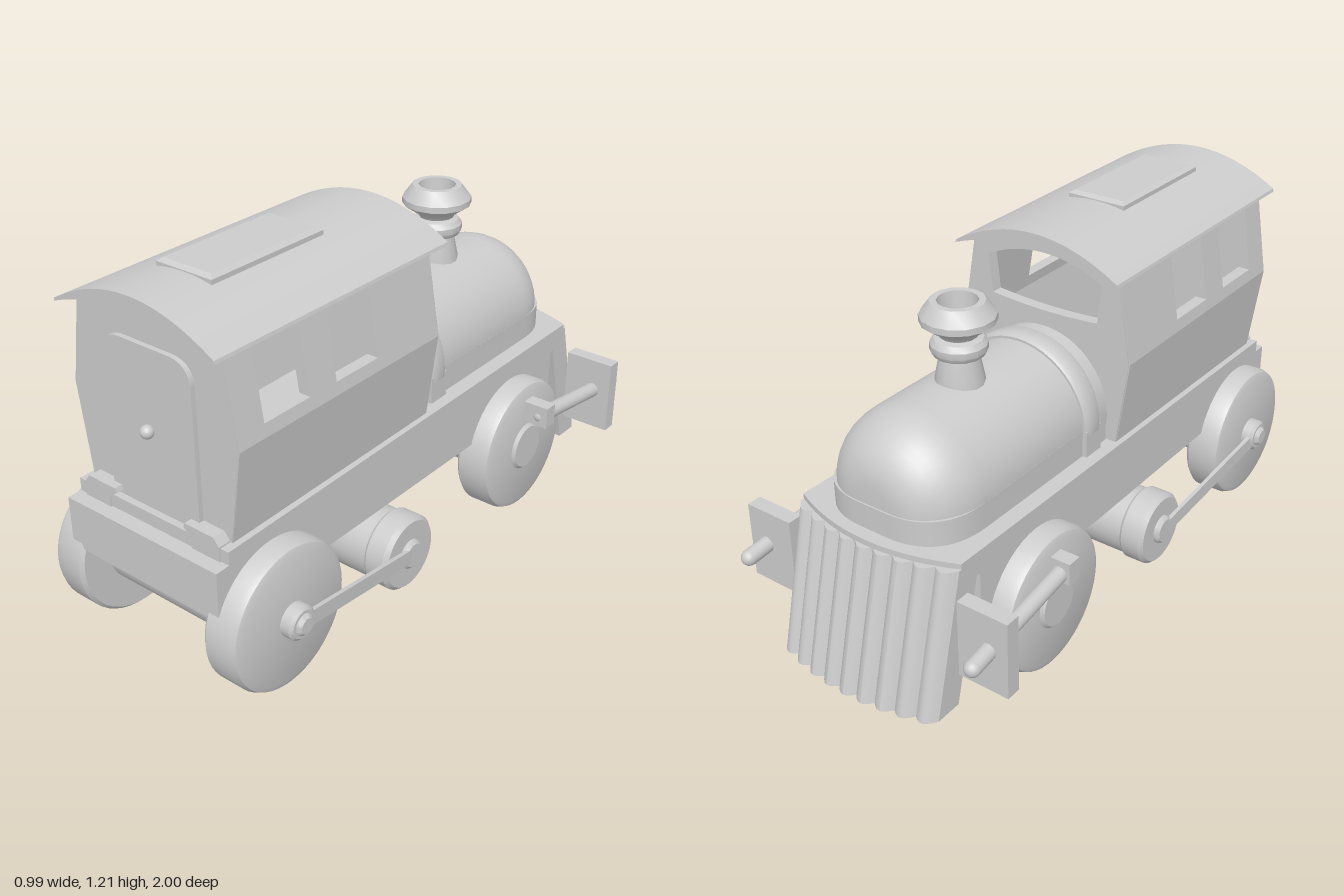
import * as THREE from 'three';
import { toCreasedNormals } from 'three/addons/utils/BufferGeometryUtils.js';

const V = (x, y) => new THREE.Vector2(x, y);
const material = new THREE.MeshStandardMaterial({ color: 0xcccccc });
const openMaterial = new THREE.MeshStandardMaterial({ color: 0xcccccc, side: THREE.DoubleSide });

function add(parent, name, geometry, x = 0, y = 0, z = 0, mat = material) {
  const mesh = new THREE.Mesh(geometry, mat);
  mesh.name = name;
  mesh.position.set(x, y, z);
  parent.add(mesh);
  return mesh;
}
const box = (parent, name, w, h, d, x, y, z) => add(parent, name, new THREE.BoxGeometry(w, h, d), x, y, z);
const poly = (pts) => new THREE.Shape(pts.map(([x, y]) => V(x, y)));
const extrude = (shape, depth, opts = {}) => toCreasedNormals(
  new THREE.ExtrudeGeometry(shape, { depth, bevelEnabled: false, curveSegments: 16, ...opts }), 0.5);
const lathe = (pts, segments = 40) => toCreasedNormals(
  new THREE.LatheGeometry(pts.map(([x, y]) => V(x, y)), segments), 0.6);

// Moves every vertex by a rule, then recomputes the normals.
function bend(geometry, rule) {
  const p = geometry.attributes.position;
  const v = new THREE.Vector3();
  for (let i = 0; i < p.count; i++) {
    rule(v.set(p.getX(i), p.getY(i), p.getZ(i)));
    p.setXYZ(i, v.x, v.y, v.z);
  }
  return toCreasedNormals(geometry, 0.5);
}

// Bar with a rectangular section between two points.
function bar(parent, name, a, b, thick, height) {
  const dir = b.clone().sub(a);
  const mesh = add(parent, name, new THREE.BoxGeometry(thick, height, dir.length()));
  mesh.position.copy(a).add(b).multiplyScalar(0.5);
  mesh.quaternion.setFromUnitVectors(new THREE.Vector3(0, 0, 1), dir.normalize());
}

function buildChassis(g) {
  box(g, 'chassis', 0.6, 0.165, 1.7, 0, 0.405, 0.13);
  box(g, 'axleBeam', 0.2, 0.055, 1.2, 0, 0.238, 0.15);

  // Deck with a bowed front, rising slightly towards the nose
  const deck = poly([[-0.3, -0.93], [0.3, -0.93], [0.3, 0.8]]);
  deck.quadraticCurveTo(0, 0.94, -0.3, 0.8);
  add(g, 'deck', bend(extrude(deck, 0.06).rotateX(-Math.PI / 2).translate(0, 0.48, 0), (v) => {
    if (v.y > 0.5) v.y = 0.545 - v.z * 0.016;
  }));

  // Ribbed, bowed and sloping slab at the nose
  const ribs = 9, steps = 6, half = 0.3, pts = [[-half, 0.72], [half, 0.72]];
  for (let i = ribs * steps; i >= 0; i--) {
    const t = i / (ribs * steps), x = (2 * t - 1) * half;
    const scallop = 0.022 * Math.abs(Math.sin(t * ribs * Math.PI));
    pts.push([x, 0.81 + 0.055 * (1 - (x / half) ** 2) + scallop]);
  }
  const guard = extrude(poly(pts), 0.46).rotateX(-Math.PI / 2).translate(0, 0.08, 0);
  add(g, 'cowcatcher', bend(guard, (v) => { v.z -= (0.54 - v.y) * 0.25; }));

  // Corner brackets at the end of the deck
  for (const s of [-1, 1]) {
    const bracket = extrude(poly([[0.165, 0.48], [0.27, 0.48], [0.27, 0.535], [0.25, 0.56],
      [0.14, 0.56], [0.135, 0.545], [0.165, 0.525]]), 0.05);
    add(g, 'deckBracket', bracket, 0, 0, 0.885).scale.x = s;
  }
}

function buildCab(g) {
  // Side walls: lower panel leans out, upper panel with two windows leans in
  const lower = poly([[0.01, 0.53], [0.89, 0.53], [0.89, 0.83], [0.01, 0.83]]);
  const upper = poly([[0.01, 0.83], [0.89, 0.83], [0.89, 1.13], [0.01, 1.13]]);
  for (const [a, b] of [[0.3, 0.487], [0.6, 0.786]]) {
    upper.holes.push(new THREE.Path([V(a, 0.87), V(a, 1.08), V(b, 1.08), V(b, 0.87)]));
  }
  for (const s of [-1, 1]) {
    for (const [name, shape] of [['cabSideLower', lower], ['cabSideUpper', upper]]) {
      const wall = extrude(shape, 0.04).rotateY(-Math.PI / 2);
      add(g, name, bend(wall, (v) => {
        v.x += 0.321 - Math.abs(v.y - 0.83) * (v.y > 0.83 ? 0.165 : 0.14);
      })).scale.x = s;
    }
  }

  // End walls, the one over the boiler having a wide arched window
  for (const windowed of [true, false]) {
    const end = poly([[-0.278, 0.53], [0.278, 0.53], [0.318, 0.83], [0.27, 1.12]]);
    end.quadraticCurveTo(0, 1.23, -0.27, 1.12);
    end.lineTo(-0.318, 0.83);
    if (windowed) {
      const hole = new THREE.Path([V(-0.2, 0.94), V(-0.215, 1.07)]);
      hole.quadraticCurveTo(0, 1.18, 0.215, 1.07);
      hole.lineTo(0.2, 0.94);
      hole.quadraticCurveTo(0, 0.92, -0.2, 0.94);
      end.holes.push(hole);
    }
    add(g, windowed ? 'cabBoilerWall' : 'cabDoorWall', extrude(end, 0.04), 0, 0, windowed ? 0.005 : 0.852);
  }

  // Round-cornered door and knob
  const door = poly([[-0.172, 0.53], [0.172, 0.53], [0.172, 0.97]]);
  door.quadraticCurveTo(0.172, 1.048, 0.09, 1.048);
  door.lineTo(-0.09, 1.048);
  door.quadraticCurveTo(-0.172, 1.048, -0.172, 0.97);
  add(g, 'door', extrude(door, 0.03), 0, 0, 0.878);
  add(g, 'doorKnob', new THREE.SphereGeometry(0.021, 16, 12), 0, 0.79, 0.918);

  // Arched roof with a shallow hatch
  const roof = new THREE.Shape();
  roof.moveTo(-0.305, 1.105);
  roof.quadraticCurveTo(0, 1.222, 0.305, 1.105);
  roof.lineTo(0.302, 1.115);
  roof.quadraticCurveTo(0, 1.298, -0.302, 1.115);
  add(g, 'roof', extrude(roof, 0.995), 0, 0, -0.05);
  const hatch = poly([[-0.09, -0.73], [0.09, -0.73], [0.09, -0.305], [-0.09, -0.305]]);
  add(g, 'roofHatch', extrude(hatch, 0.025, { bevelEnabled: true, bevelSize: 0.015,
    bevelThickness: 0.01, bevelSegments: 1 }).rotateX(-Math.PI / 2), 0, 1.185, 0);
}

function buildBoiler(g) {
  // Barrel with a domed nose
  const profile = [[0, -0.02], [0.245, -0.02], [0.245, 0.62]];
  for (let i = 1; i <= 10; i++) {
    const a = (i / 10) * Math.PI / 2;
    profile.push([0.07 + 0.175 * Math.cos(a), 0.62 + 0.2 * Math.sin(a)]);
  }
  profile.push([0, 0.82]);
  add(g, 'boiler', lathe(profile, 48).rotateX(-Math.PI / 2), 0, 0.632, 0);

  // Skirt joining barrel and deck
  const skirt = poly([[-0.245, 0], [0.245, 0], [0.245, 0.62]]);
  skirt.bezierCurveTo(0.245, 0.76, 0.17, 0.825, 0.05, 0.825);
  skirt.lineTo(-0.05, 0.825);
  skirt.bezierCurveTo(-0.17, 0.825, -0.245, 0.76, -0.245, 0.62);
  add(g, 'boilerSkirt', extrude(skirt, 0.1).rotateX(-Math.PI / 2), 0, 0.54, 0);

  add(g, 'boilerBand', lathe([[0.24, 0], [0.253, 0], [0.261, 0.012], [0.261, 0.068], [0.253, 0.08],
    [0.24, 0.08]], 48).rotateX(-Math.PI / 2), 0, 0.632, -0.05);
  for (const s of [-1, 1]) box(g, 'boilerBandFoot', 0.02, 0.1, 0.08, s * 0.25, 0.585, -0.09);

  // Chimney with a collar and a hollow flared top
  add(g, 'chimney', lathe([[0.078, 0.82], [0.075, 0.88], [0.06, 0.955], [0.078, 0.96], [0.087, 0.975],
    [0.087, 0.995], [0.075, 1.012], [0.058, 1.018], [0.065, 1.03], [0.115, 1.065], [0.115, 1.085],
    [0.083, 1.128], [0.062, 1.128], [0.055, 1.05], [0, 1.05]], 14), 0, 0, -0.417, openMaterial);
}

function buildRunningGear(g) {
  const bigWheel = lathe([[0, 0.25], [0.225, 0.25], [0.236, 0.262], [0.236, 0.35], [0.228, 0.368],
    [0.21, 0.376], [0, 0.376]], 48).rotateZ(-Math.PI / 2);
  const smallWheel = lathe([[0, 0.27], [0.12, 0.27], [0.128, 0.28], [0.128, 0.345], [0.115, 0.36],
    [0, 0.36]]).rotateZ(-Math.PI / 2);
  const drum = (r) => new THREE.CylinderGeometry(r, r, 0.6, 40).rotateZ(Math.PI / 2);
  const hub = (r, x0, x1) => lathe([[0, x0], [r, x0], [r, x1 - 0.01], [r - 0.01, x1], [0, x1]], 28)
    .rotateZ(-Math.PI / 2);

  add(g, 'rearAxleDrum', drum(0.125), 0, 0.245, 0.765);
  add(g, 'frontAxleDrum', drum(0.125), 0, 0.245, -0.455);
  add(g, 'smallAxleDrum', drum(0.118), 0, 0.135, 0.187);

  for (const s of [-1, 1]) {
    const side = new THREE.Group();
    side.name = 'wheelSet';
    side.scale.x = s;
    g.add(side);
    add(side, 'rearWheel', bigWheel, 0, 0.245, 0.765);
    add(side, 'frontWheel', bigWheel, 0, 0.245, -0.455);
    add(side, 'smallWheel', smallWheel, 0, 0.137, 0.187);
    add(side, 'frontHub', hub(0.085, 0.36, 0.387), 0, 0.245, -0.455);
    add(side, 'rearHub', hub(0.055, 0.36, 0.418), 0, 0.245, 0.765);
    add(side, 'rearNut', hub(0.035, 0.4, 0.432), 0, 0.245, 0.765);
    add(side, 'smallHub', hub(0.05, 0.35, 0.378), 0, 0.14, 0.187);
    bar(side, 'connectingRod', new THREE.Vector3(0.37, 0.14, 0.187),
      new THREE.Vector3(0.408, 0.245, 0.765), 0.014, 0.05);
  }
}

// Bumper boards with push rods beside the front wheels
function buildBumpers(g) {
  for (const s of [-1, 1]) {
    const side = new THREE.Group();
    side.name = 'bumper';
    side.scale.x = s;
    g.add(side);
    box(side, 'bumperBoard', 0.175, 0.26, 0.05, 0.409, 0.33, -0.815);
    box(side, 'rodBlock', 0.09, 0.075, 0.05, 0.41, 0.39, -0.46);
    const rod = new THREE.CapsuleGeometry(0.026, 0.46, 6, 16).rotateX(Math.PI / 2);
    add(side, 'pushRod', rod, 0.425, 0.357, -0.685).rotation.set(-0.115, -0.03, 0);
  }
}

export function createModel() {
  const model = new THREE.Group();
  model.name = 'toyLocomotive';
  const body = new THREE.Group();
  body.name = 'body';
  body.position.x = -0.011;
  model.add(body);
  buildChassis(body);
  buildCab(body);
  buildBoiler(body);
  buildRunningGear(body);
  buildBumpers(model);
  return model;
}
